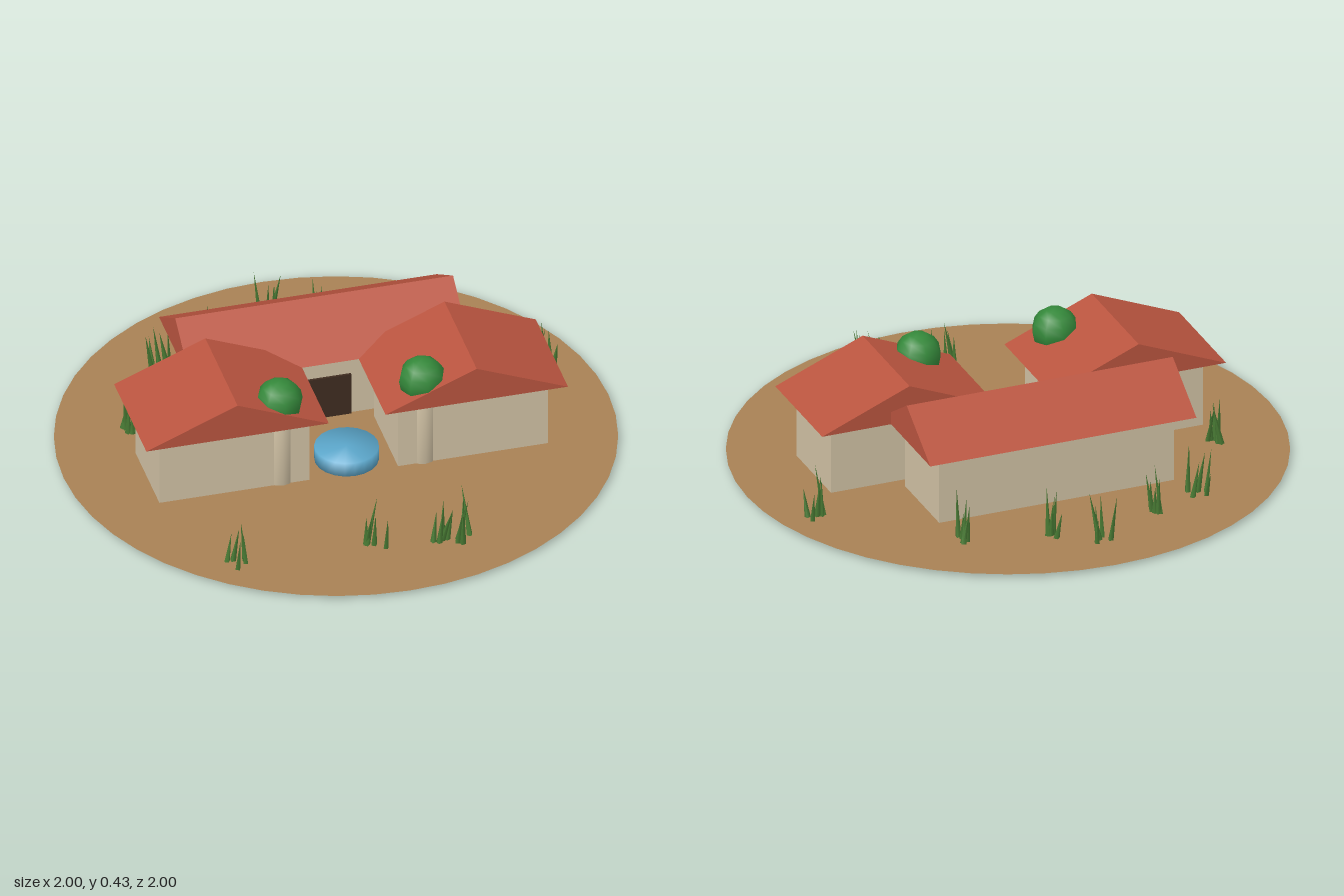
import * as THREE from 'three';
import { mergeVertices } from 'three/addons/utils/BufferGeometryUtils.js';

const mat = (name, color, extra = {}) => {
  const m = new THREE.MeshStandardMaterial({ color, ...extra });
  m.name = name;
  return m;
};

// Cylinder whose caps share smooth normals with its side
function softCylinder(r, h, segments) {
  let g = new THREE.CylinderGeometry(r, r, h, segments);
  g.deleteAttribute('normal');
  g.deleteAttribute('uv');
  g = mergeVertices(g);
  g.computeVertexNormals();
  return g;
}

// Closed gable prism: ridge along z, base at y = 0
function gable(width, height, length) {
  const s = new THREE.Shape();
  s.moveTo(-width / 2, 0);
  s.lineTo(width / 2, 0);
  s.lineTo(0, height);
  s.closePath();
  const g = new THREE.ExtrudeGeometry(s, { depth: length, bevelEnabled: false });
  return g.translate(0, 0, -length / 2);
}

export function createModel() {
  const earth = mat('earth', 0xa88154, { side: THREE.DoubleSide });
  const plaster = mat('plaster', 0xd0c1a4);
  const tile = mat('roof tile', 0xb9543f);
  const wood = mat('dark wood', 0x3f2c20);
  const water = mat('water', 0x5ba6ca);
  const leaf = mat('leaf', 0x34883a);
  const grass = mat('grass', 0x4a7d35);

  const model = new THREE.Group();
  model.name = 'villa';
  const add = (name, geometry, material, x, y, z, parent = model) => {
    const mesh = new THREE.Mesh(geometry, material);
    mesh.name = name;
    mesh.position.set(x, y, z);
    parent.add(mesh);
    return mesh;
  };

  // Ground disc
  add('ground', new THREE.CircleGeometry(1, 48).rotateX(-Math.PI / 2), earth, 0, 0.012, 0);

  // Main house
  const eave = 0.275, floor = 0.01, wallH = eave - floor, wallY = floor + wallH / 2;
  add('mainWalls', new THREE.BoxGeometry(0.9, wallH, 0.32), plaster, 0, wallY, -0.292);
  add('mainRoof', gable(0.44, 0.14, 1.02).rotateY(Math.PI / 2), tile, 0, eave, -0.295);
  add('door', new THREE.BoxGeometry(0.18, 0.168, 0.009), wood, 0, 0.096, -0.1275);

  // Side wings with a pale trunk and round crown at the front
  for (const side of [-1, 1]) {
    const wing = new THREE.Group();
    wing.name = side > 0 ? 'leftWing' : 'rightWing';
    model.add(wing);
    add('wingWalls', new THREE.BoxGeometry(0.55, wallH, 0.323), plaster, side * 0.438, wallY, 0.077, wing);
    add('wingRoof', gable(0.67, 0.137, 0.436), tile, side * 0.439, eave, 0.068, wing);
    add('trunk', softCylinder(0.05, 0.29, 12), plaster, side * 0.262, 0.151, 0.2, wing);
    add('crown', new THREE.SphereGeometry(0.085, 8, 8), leaf, side * 0.262, 0.345, 0.2, wing);
  }

  // Round pool in the courtyard
  add('pool', softCylinder(0.115, 0.061, 20), water, 0, 0.0365, 0.143);

  // Grass tufts of thin leaning blades
  let seed = 7;
  const rnd = (a, b) => {
    seed = (seed * 16807) % 2147483647;
    return a + (b - a) * (seed / 2147483647);
  };
  const tufts = [
    [-0.04, -0.8], [-0.27, -0.67], [0.12, -0.7], [-0.49, -0.58], [0.4, -0.61], [-0.71, -0.23],
    [0.84, -0.25], [-0.55, 0.68], [-0.04, 0.69], [0.18, 0.71], [0.28, 0.74],
  ];
  tufts.forEach(([x, z]) => {
    const tuft = new THREE.Group();
    tuft.name = 'grassTuft';
    tuft.position.set(x, 0, z);
    model.add(tuft);
    for (let i = 0; i < 5; i++) {
      const h = rnd(0.11, 0.2);
      const blade = new THREE.ConeGeometry(0.012, h, 4).translate(0, h / 2, 0);
      const mesh = add('blade', blade, grass, rnd(-0.04, 0.04), 0.004, rnd(-0.03, 0.03), tuft);
      mesh.rotation.set(rnd(-0.2, 0.2), rnd(0, 3), rnd(-0.22, 0.22));
    }
  });

  return model;
}
